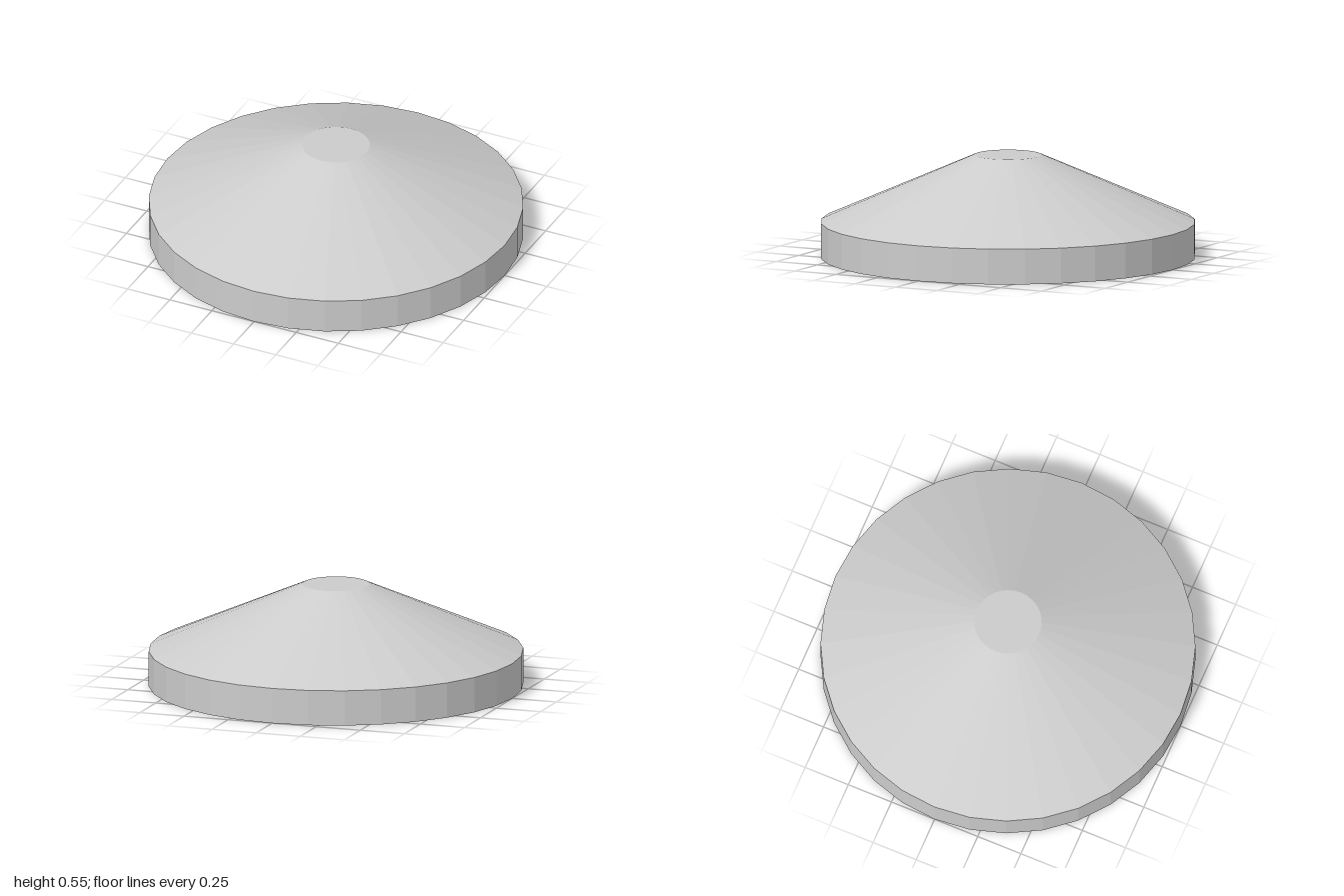
import * as THREE from 'three';

const SIDES = 32;
const RIM_HEIGHT = 0.19;
const TOTAL_HEIGHT = 0.55;
const RADIUS = 1;
const TOP_RADIUS = 0.18;

export function createModel() {
  const group = new THREE.Group();
  group.name = 'lowConeDisc';
  const material = new THREE.MeshStandardMaterial({ color: 0xcccccc, flatShading: true });

  // Adds a faceted round section standing between two heights
  function addSection(name, topRadius, bottomRadius, y0, y1, open = false) {
    const geometry = new THREE.CylinderGeometry(topRadius, bottomRadius, y1 - y0, SIDES, 1, open);
    geometry.translate(0, (y0 + y1) / 2, 0);
    const mesh = new THREE.Mesh(geometry, material);
    mesh.name = name;
    group.add(mesh);
  }

  // Sloping sides between the rim and the flat top
  addSection('slopedCover', TOP_RADIUS, RADIUS, RIM_HEIGHT, TOTAL_HEIGHT, true);

  // Vertical rim
  addSection('rim', RADIUS, RADIUS, 0, RIM_HEIGHT, true);

  // Flat discs closing the top and the underside
  function addDisc(name, radius, y, facing) {
    const geometry = new THREE.CircleGeometry(radius, SIDES);
    geometry.rotateX(-facing * Math.PI / 2);
    geometry.translate(0, y, 0);
    const mesh = new THREE.Mesh(geometry, material);
    mesh.name = name;
    group.add(mesh);
  }
  addDisc('flatTop', TOP_RADIUS, TOTAL_HEIGHT, 1);
  addDisc('underside', RADIUS, 0, -1);

  return group;
}
